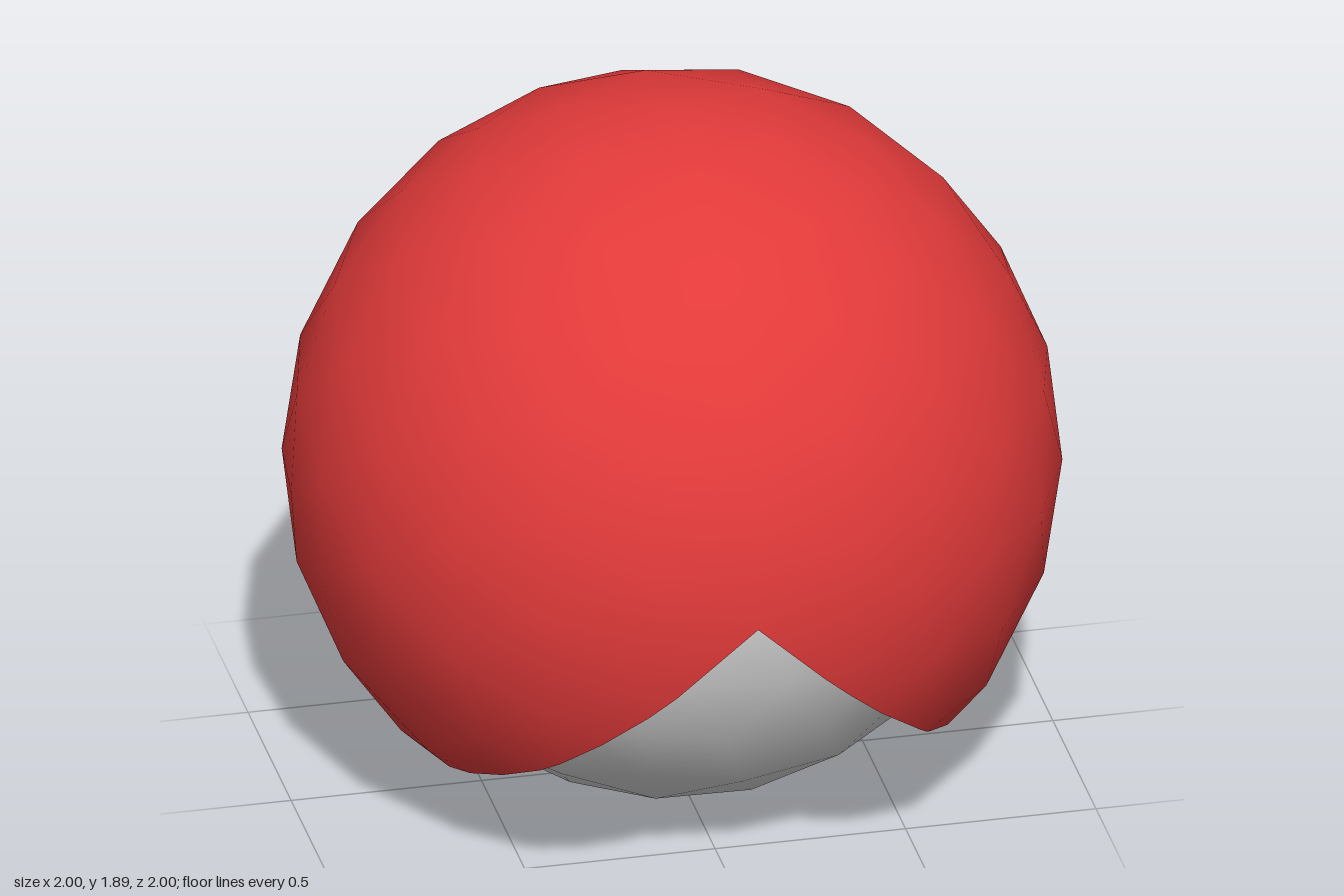
import * as THREE from 'three';

const CENTRE_Y = 0.888;
const CORE_RADIUS = 0.886;
const RIM_INNER = 0.8; // rim runs a little way inside the core

// Faceted sphere with a vertex at the bottom
function icoSphere(radius) {
  const g = new THREE.IcosahedronGeometry(radius, 3);
  g.rotateZ(-Math.atan(2) / 2);
  return g;
}

// Smooth normals pointing away from the centre
function radialNormals(g) {
  const p = g.attributes.position, n = g.attributes.normal, v = new THREE.Vector3();
  for (let i = 0; i < p.count; i++) {
    v.fromBufferAttribute(p, i).normalize();
    n.setXYZ(i, v.x, v.y, v.z);
  }
}

// Keep the part of a polygon where dist(point) >= 0
function clip(poly, dist) {
  const out = [];
  poly.forEach((a, i) => {
    const b = poly[(i + 1) % poly.length], da = dist(a), db = dist(b);
    if (da >= -1e-6) out.push(a);
    if ((da > 1e-6 && db < -1e-6) || (da < -1e-6 && db > 1e-6)) {
      out.push(a.clone().lerp(b, da / (da - db)));
    }
  });
  return out;
}

function geometryFrom(points) {
  const g = new THREE.BufferGeometry().setFromPoints(points);
  g.computeVertexNormals();
  return g;
}

// Outer sphere with a right-angled wedge cut away below, plus the flat rim of the cut
function buildShell() {
  const sphere = icoSphere(1);
  sphere.applyMatrix4(new THREE.Matrix4().makeBasis(
    new THREE.Vector3(0, 0, 1), new THREE.Vector3(1, 0, 0), new THREE.Vector3(0, 1, 0)));
  const p = sphere.attributes.position, skin = [], rim = [];
  for (let i = 0; i < p.count; i += 3) {
    const tri = [0, 1, 2].map(k => new THREE.Vector3().fromBufferAttribute(p, i + k));
    for (const side of [1, -1]) {
      const cut = v => v.y + side * v.x;
      const poly = clip(clip(tri, v => side * v.x), cut);
      if (poly.length < 3) continue;
      for (let k = 1; k < poly.length - 1; k++) skin.push(poly[0], poly[k], poly[k + 1]);
      poly.forEach((a, k) => {
        const b = poly[(k + 1) % poly.length];
        if (Math.abs(cut(a)) > 1e-5 || Math.abs(cut(b)) > 1e-5) return;
        const c = a.clone().multiplyScalar(RIM_INNER), d = b.clone().multiplyScalar(RIM_INNER);
        rim.push(b, a, c, b, c, d);
      });
    }
  }
  const skinGeometry = geometryFrom(skin);
  radialNormals(skinGeometry);
  return { skin: skinGeometry, rim: geometryFrom(rim) };
}

export function createModel() {
  const red = new THREE.MeshStandardMaterial({ color: 0xe23a3a });
  red.name = 'red';
  const grey = new THREE.MeshStandardMaterial({ color: 0xd4d4d4 });
  grey.name = 'light grey';

  const model = new THREE.Group();
  model.name = 'cutawayBall';
  const add = (name, geometry, material) => {
    const mesh = new THREE.Mesh(geometry, material);
    mesh.name = name;
    mesh.position.y = CENTRE_Y;
    model.add(mesh);
  };

  // Shell and the cut edge of its thickness
  const shell = buildShell();
  add('outerShell', shell.skin, red);
  add('shellRim', shell.rim, red);

  // Inner ball showing through the opening
  const core = icoSphere(CORE_RADIUS);
  radialNormals(core);
  add('innerBall', core, grey);

  return model;
}
